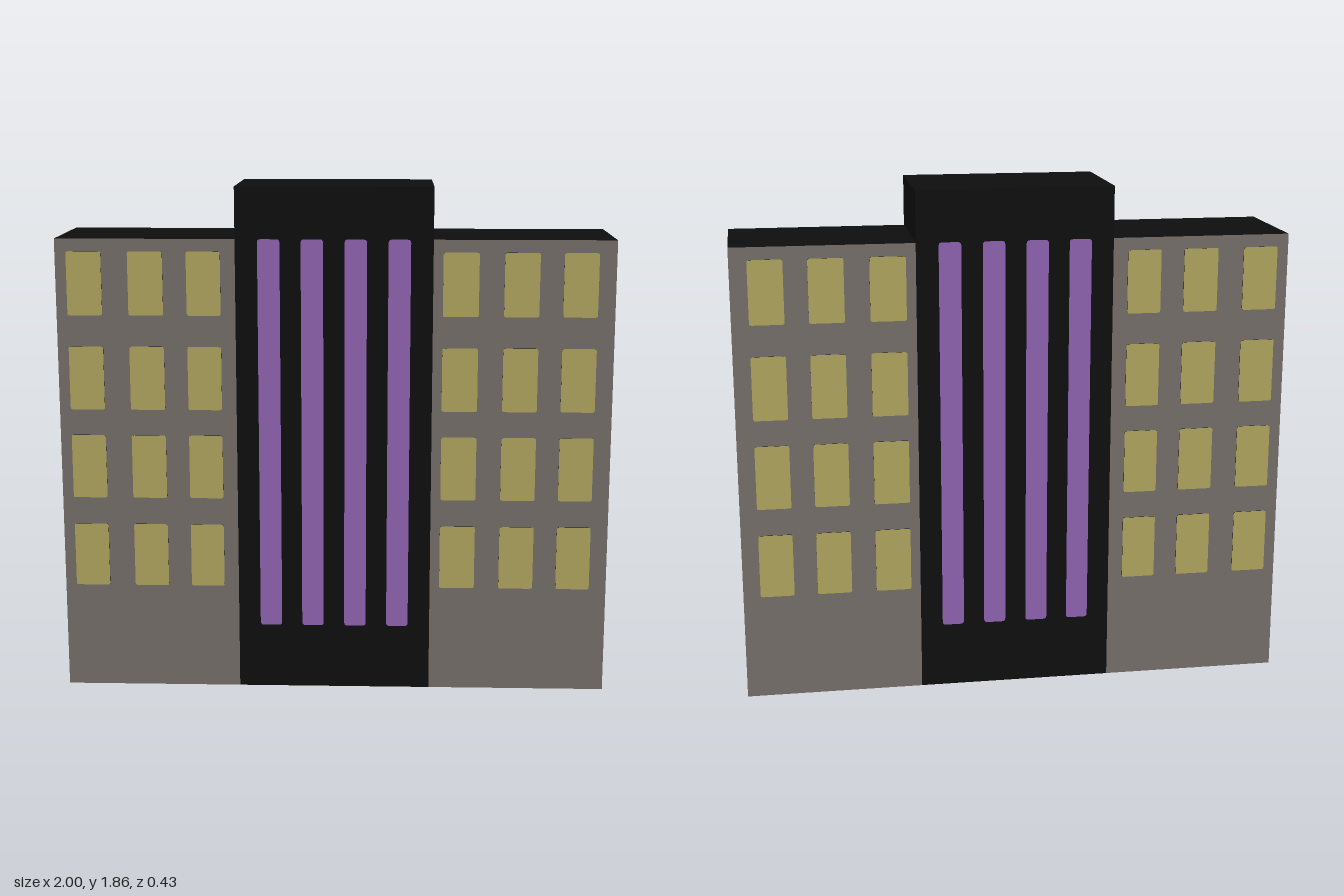
import * as THREE from 'three';

const material = (name, color) => {
  const m = new THREE.MeshStandardMaterial({ color });
  m.name = name;
  return m;
};

// Rounded rectangle centred on the origin
function panelShape(w, h, r) {
  const s = new THREE.Shape();
  const x = w / 2, y = h / 2;
  if (r === 0) {
    s.moveTo(-x, -y).lineTo(x, -y).lineTo(x, y).lineTo(-x, y);
    return s;
  }
  s.moveTo(-x + r, -y).lineTo(x - r, -y).quadraticCurveTo(x, -y, x, -y + r);
  s.lineTo(x, y - r).quadraticCurveTo(x, y, x - r, y);
  s.lineTo(-x + r, y).quadraticCurveTo(-x, y, -x, y - r);
  s.lineTo(-x, -y + r).quadraticCurveTo(-x, -y, -x + r, -y);
  return s;
}

export function createModel() {
  const black = material('black structure', 0x0e0e0e);
  const stone = material('grey stone', 0x756e69);
  const yellow = material('yellow glass', 0xaea45e);
  const purple = material('purple glass', 0x8f62b0);

  const model = new THREE.Group();
  model.name = 'building';

  const box = (name, x0, x1, h, halfDepth) => {
    const mesh = new THREE.Mesh(new THREE.BoxGeometry(x1 - x0, h, halfDepth * 2), black);
    mesh.position.set((x0 + x1) / 2, h / 2, 0);
    mesh.name = name;
    model.add(mesh);
  };

  // Structure: two wings and the taller central tower
  box('rightWing', -1, -0.355, 1.675, 0.208);
  box('leftWing', 0.352, 1, 1.675, 0.208);
  box('tower', -0.355, 0.352, 1.86, 0.213);

  const columns = [
    [-0.96, -0.835], [-0.74, -0.615], [-0.53, -0.408],
    [0.387, 0.515], [0.605, 0.73], [0.815, 0.938],
  ];
  const rows = [[0.39, 0.625], [0.725, 0.96], [1.055, 1.287], [1.4, 1.63]];
  const strips = [[-0.275, -0.195], [-0.12, -0.04], [0.036, 0.116], [0.192, 0.272]];

  // Both long faces carry the same facade
  for (const side of [1, -1]) {
    const facade = new THREE.Group();
    facade.name = side > 0 ? 'frontFacade' : 'backFacade';
    model.add(facade);

    // Thin plate with a coloured face and black edges
    const plate = (name, [x0, x1], [y0, y1], r, z, depth, face) => {
      const geometry = new THREE.ExtrudeGeometry(panelShape(x1 - x0, y1 - y0, r), {
        depth, bevelEnabled: false, curveSegments: 3,
      });
      if (side < 0) geometry.rotateY(Math.PI);
      const mesh = new THREE.Mesh(geometry, [face, black]);
      mesh.position.set((x0 + x1) / 2, (y0 + y1) / 2, side * z);
      mesh.name = name;
      facade.add(mesh);
    };

    // Stone cladding on the wings
    plate('rightCladding', [-1, -0.355], [0, 1.675], 0, 0.208, 0.005, stone);
    plate('leftCladding', [0.352, 1], [0, 1.675], 0, 0.208, 0.005, stone);

    // Window grid
    for (const column of columns) {
      for (const row of rows) plate('window', column, row, 0.008, 0.213, 0.003, yellow);
    }

    // Tall glazed strips on the tower
    for (const strip of strips) plate('towerStrip', strip, [0.24, 1.675], 0.012, 0.213, 0.003, purple);
  }

  return model;
}
